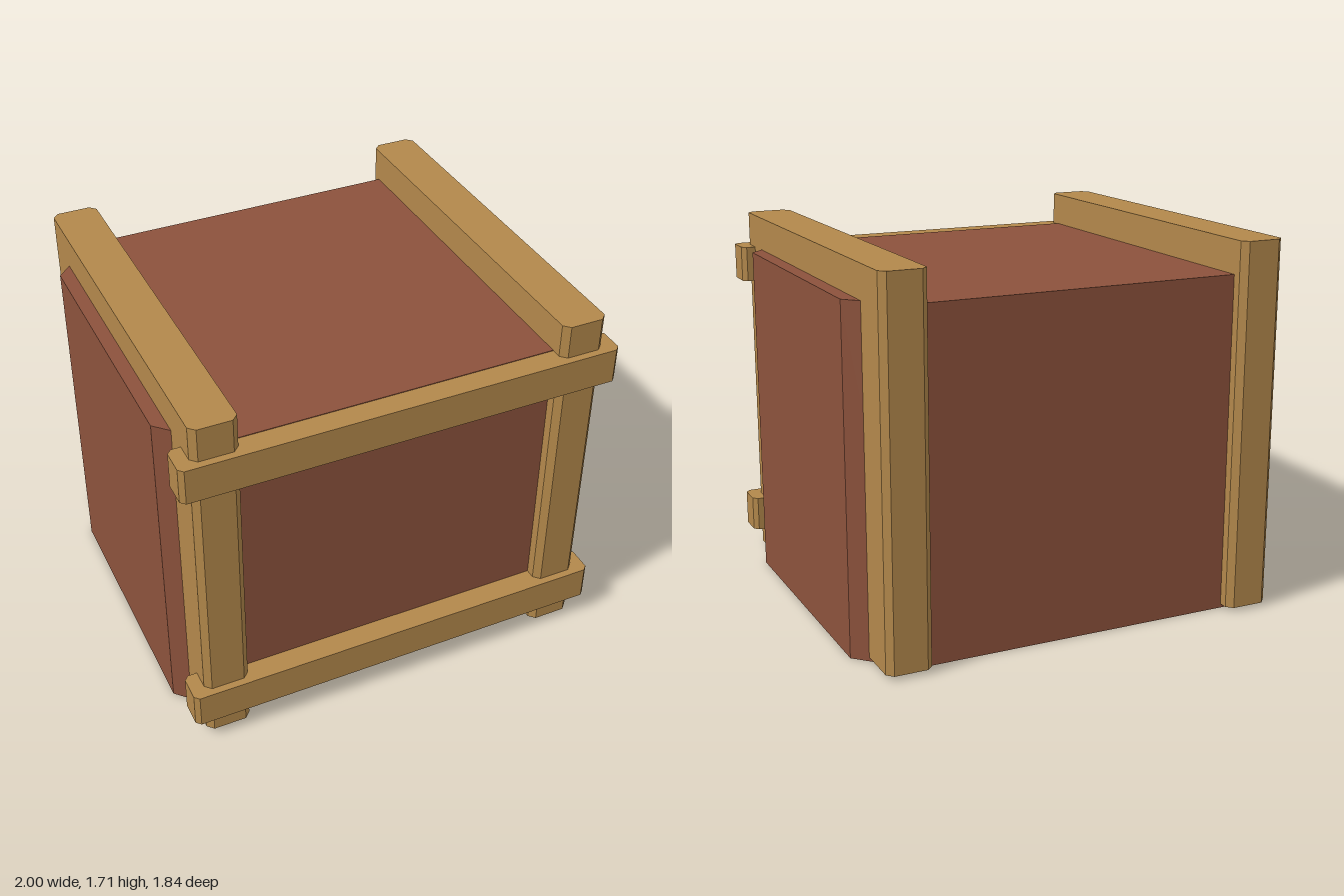
import * as THREE from 'three';

// Upright prism whose plan is a rectangle with cut corners (x0..x1, z0..z1, y0..y1)
function chamferedPrism(x0, x1, y0, y1, z0, z1, cut) {
  const plan = [
    [x0 + cut, z0], [x1 - cut, z0], [x1, z0 + cut], [x1, z1 - cut],
    [x1 - cut, z1], [x0 + cut, z1], [x0, z1 - cut], [x0, z0 + cut],
  ];
  const shape = new THREE.Shape(plan.map(([x, z]) => new THREE.Vector2(x, -z)));
  const geometry = new THREE.ExtrudeGeometry(shape, { depth: y1 - y0, bevelEnabled: false });
  geometry.rotateX(-Math.PI / 2);
  geometry.translate(0, y0, 0);
  return geometry;
}

export function createModel() {
  const model = new THREE.Group();
  model.name = 'crate';

  const redBrown = new THREE.MeshStandardMaterial({ color: 0x8c523c });
  redBrown.name = 'redBrownPanel';
  const tan = new THREE.MeshStandardMaterial({ color: 0xb3884b });
  tan.name = 'tanWood';

  const add = (name, geometry, material) => {
    const mesh = new THREE.Mesh(geometry, material);
    mesh.name = name;
    model.add(mesh);
  };

  // Box with wide cut corners
  add('body', chamferedPrism(-1, 1, 0, 1.558, -0.85, 0.81, 0.215), redBrown);

  // Side frames: the posts and top rails stand proud of the body
  add('leftFrame', chamferedPrism(0.73, 0.937, 0.018, 1.71, -0.918, 0.883, 0.028), tan);
  add('rightFrame', chamferedPrism(-0.937, -0.73, 0.018, 1.71, -0.918, 0.883, 0.028), tan);

  // Two planks across the front
  add('lowerPlank', chamferedPrism(-1, 1, 0.115, 0.279, 0.767, 0.917, 0.021), tan);
  add('upperPlank', chamferedPrism(-1, 1, 1.391, 1.555, 0.767, 0.917, 0.021), tan);

  return model;
}
